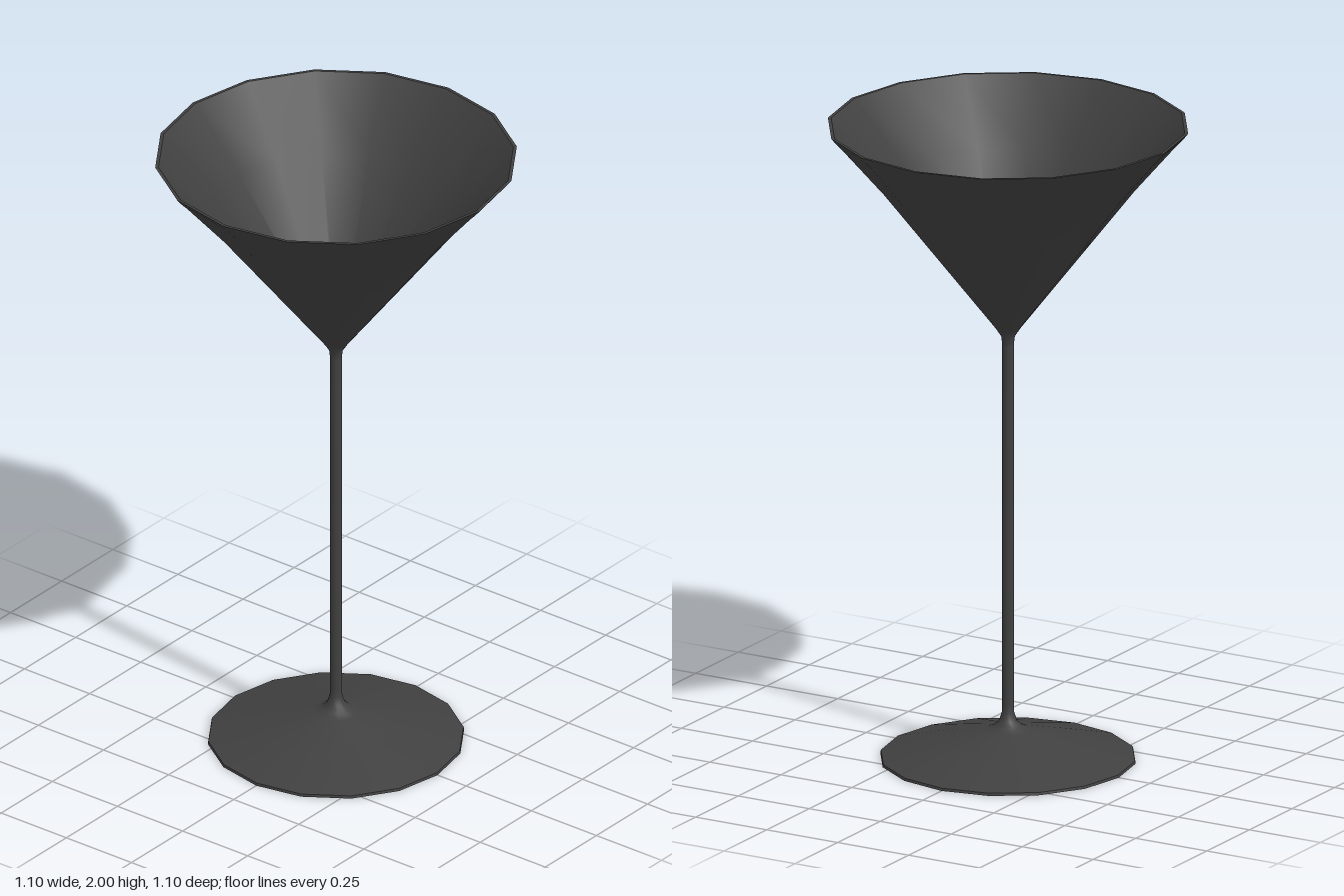
import * as THREE from 'three';

const SIDES = 16;
const glass = new THREE.MeshStandardMaterial({ color: 0x404040 });

// Each surface is its own lathe, so the edges between them stay sharp.
function turn(name, profile) {
  const points = profile.map(([r, y]) => new THREE.Vector2(r, y));
  const mesh = new THREE.Mesh(new THREE.LatheGeometry(points, SIDES), glass);
  mesh.name = name;
  return mesh;
}

function part(name, ...meshes) {
  const group = new THREE.Group();
  group.name = name;
  group.add(...meshes);
  return group;
}

export function createModel() {
  const model = new THREE.Group();
  model.name = 'cocktailGlass';

  // Shallow conical foot with a thin edge
  model.add(part('foot',
    turn('footUnderside', [[0, 0], [0.39, 0]]),
    turn('footEdge', [[0.39, 0], [0.388, 0.008]]),
    turn('footTop', [[0.388, 0.008], [0.22, 0.053], [0.07, 0.092], [0.045, 0.102],
      [0.027, 0.12], [0.019, 0.145], [0.018, 0.17]]),
  ));

  // Slender straight stem
  model.add(turn('stem', [[0.018, 0.17], [0.018, 1.31]]));

  // Thin-walled conical bowl, flaring slightly at the rim
  model.add(part('bowl',
    turn('bowlOutside', [[0.018, 1.31], [0.021, 1.335], [0.037, 1.36], [0.21, 1.583],
      [0.386, 1.81], [0.515, 1.965], [0.536, 1.982], [0.55, 2]].map(([r, y], i) =>
      i === 5 ? [0.515, 1.96] : [r, y])),
    turn('rim', [[0.55, 2], [0.54, 2]]),
    turn('bowlInside', [[0.54, 2], [0.37, 1.81], [0.03, 1.38]]),
    turn('bowlFloor', [[0.03, 1.38], [0, 1.38]]),
  ));

  return model;
}
